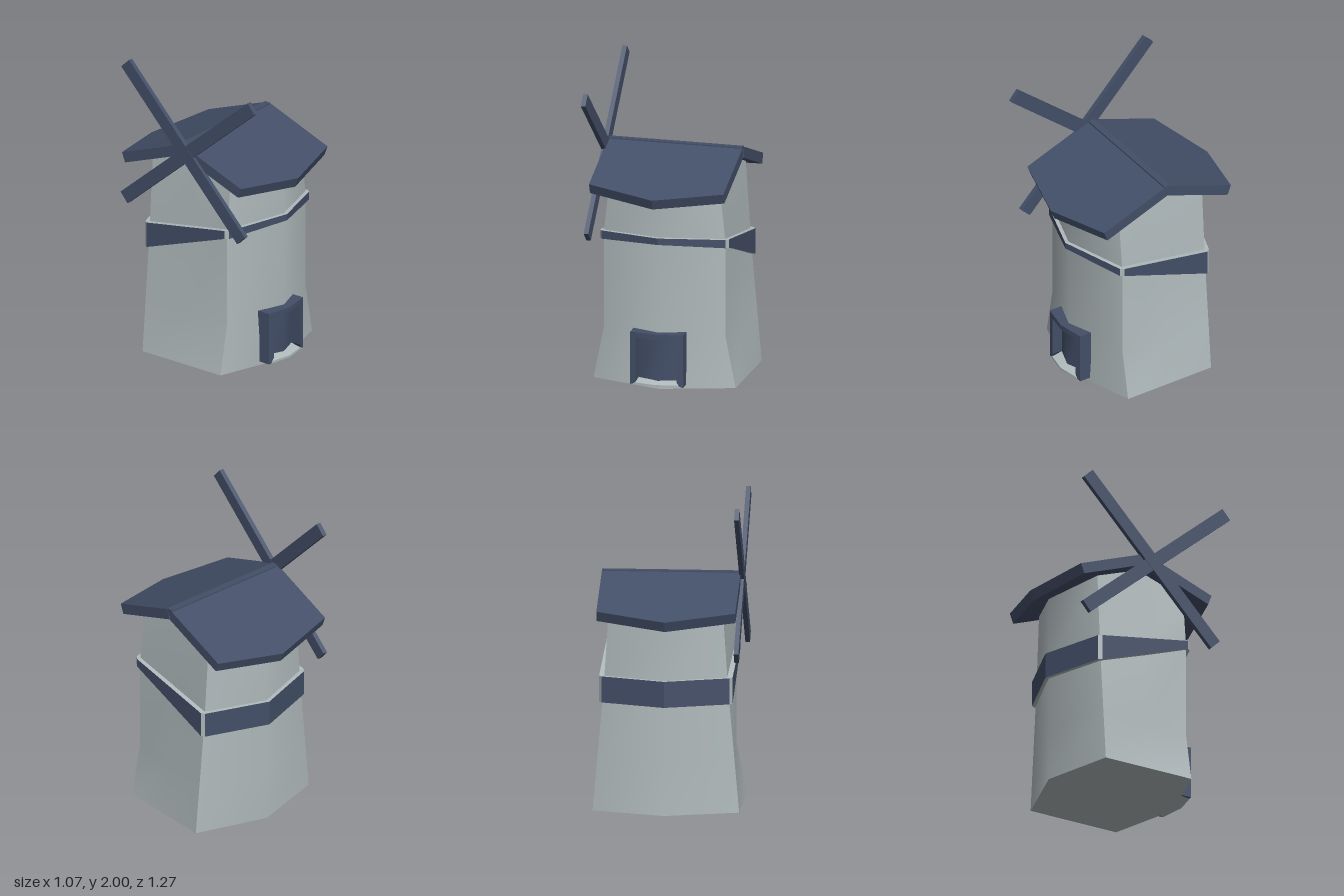
import * as THREE from 'three';
import { mergeGeometries } from 'three/addons/utils/BufferGeometryUtils.js';

const V = (x, y, z) => new THREE.Vector3(x, y, z);
const HALF_V = 0.318;  // depth of the four wall corners
const MID_V = 0.463;   // depth of the bent middle of front and back
const WIDE = 0.403;    // half width of the tower at mid height
const BEND = (MID_V - HALF_V) / WIDE;
const SLOPE = 0.375;   // roof pitch
const PEAK = 1.44;     // underside of the ridge

// Surface from rows of points: bottom to top, left to right seen from outside
function grid(rows) {
  const n = rows[0].length, index = [];
  for (let r = 0; r < rows.length - 1; r++)
    for (let c = 0; c < n - 1; c++) {
      const a = r * n + c, d = a + n;
      index.push(a, a + 1, d + 1, a, d + 1, d);
    }
  const g = new THREE.BufferGeometry().setFromPoints(rows.flat());
  g.setIndex(index);
  g.computeVertexNormals();
  return g;
}

export function createModel() {
  const stone = new THREE.MeshStandardMaterial({ color: 0xb0babc });
  stone.name = 'grey stone';
  const slate = new THREE.MeshStandardMaterial({ color: 0x434f68 });
  slate.name = 'blue slate';

  const model = new THREE.Group();
  model.name = 'windmill';
  const mill = new THREE.Group();
  mill.name = 'millBody';
  mill.rotation.y = THREE.MathUtils.degToRad(9.8);
  mill.position.set(0.018, 0, -0.034);
  model.add(mill);

  const add = (name, geometry, material, parent = mill) => {
    const m = new THREE.Mesh(geometry, material);
    m.name = name;
    parent.add(m);
    return m;
  };
  const addGroup = (name, parent = mill) => {
    const g = new THREE.Group();
    g.name = name;
    parent.add(g);
    return g;
  };

  // Tower: half width and height at each level, front and back corners
  const wallPeak = PEAK + 0.005;
  const eave = wallPeak - SLOPE * HALF_V, eaveMid = wallPeak - SLOPE * MID_V;
  const frontLevels = [[0.47, 0], [WIDE, 0.34], [WIDE, 0.97], [0.365, eave]];
  const backLevels = [[0.47, 0], [0.44, 0.34], [0.4, 0.79], [0.365, eave]];
  const corner = (su, sv, i) => {
    const [u, y] = (sv > 0 ? frontLevels : backLevels)[i];
    return V(su * u, y, sv * HALF_V);
  };
  const middle = (sv, i) =>
    V(0, i === 3 ? eaveMid : (sv > 0 ? frontLevels : backLevels)[i][1], sv * MID_V);
  const levels = [0, 1, 2, 3];
  for (const s of [1, -1]) {
    add(s > 0 ? 'frontWall' : 'backWall', grid(levels.map(i =>
      [corner(-s, s, i), middle(s, i), corner(s, s, i)])), stone);
    add(s > 0 ? 'leftWall' : 'rightWall', grid(levels.map(i => {
      const a = corner(s, s, i), b = corner(s, -s, i);
      const m = a.clone().lerp(b, 0.5);
      if (i === 3) m.set(s * 0.352, wallPeak, 0);
      return [a, m, b];
    })), stone);
  }
  add('towerBase', grid([-1, 1].map(s =>
    [corner(-1, s, 0), middle(s, 0), corner(1, s, 0)])), stone);

  // Belt: ten outer points, with small grey chamfers at the corners
  const OUT = 0.025, ring = [];
  const beltPoint = (u, v, du, dv, chamfer = false) => {
    const [bottom, top] = v < 0 ? [0.71, 0.88] : u === 0 ? [0.967, 1.01] : [0.935, 0.99];
    ring.push({
      chamfer,
      outer: [V(u + du, bottom, v + dv), V(u + du, top, v + dv)],
      inner: [V(u * 0.97, bottom, v * 0.97), V(u * 0.97, top, v * 0.97)],
    });
  };
  for (const s of [1, -1]) {
    const nu = OUT * 0.33, nv = OUT * 0.944;
    beltPoint(-s * WIDE, s * HALF_V, -s * nu, s * nv);
    beltPoint(0, s * MID_V, 0, s * OUT);
    beltPoint(s * WIDE, s * HALF_V, s * nu, s * nv, true);
    beltPoint(s * WIDE, s * HALF_V, s * OUT, 0);
    beltPoint(s * WIDE, -s * HALF_V, s * OUT, 0, true);
  }
  const bands = [], rims = [];
  ring.forEach((p, i) => {
    const q = ring[(i + 1) % ring.length];
    (p.chamfer ? rims : bands).push(
      grid([[p.outer[0], q.outer[0]], [p.outer[1], q.outer[1]]]));
    rims.push(grid([[p.outer[1], q.outer[1]], [p.inner[1], q.inner[1]]]));
    rims.push(grid([[p.inner[0], q.inner[0]], [p.outer[0], q.outer[0]]]));
  });
  add('beltBand', mergeGeometries(bands), slate);
  add('beltRim', mergeGeometries(rims), stone);

  // Roof: two pointed slabs that meet under a narrow flat ridge
  const cap = addGroup('cap');
  cap.position.set(-0.013, 0, -0.01);
  const plan = new THREE.Shape([[-0.445, 0], [-0.445, -0.492], [0, -0.613],
    [0.445, -0.492], [0.445, 0]].map(p => new THREE.Vector2(...p)));
  const slab = new THREE.ExtrudeGeometry(plan, { depth: 0.07, bevelEnabled: false });
  slab.rotateX(Math.atan(SLOPE) - Math.PI / 2);
  slab.translate(0, PEAK, 0);
  add('frontRoofSlab', slab, slate, cap);
  add('backRoofSlab', slab, slate, cap).rotation.y = Math.PI;
  add('ridge', new THREE.BoxGeometry(0.886, 0.05, 0.044), slate, cap).position.y = 1.488;

  // Sails: two crossed beams in front of the right gable
  const sails = addGroup('sails', cap);
  for (const [v, angle, u] of [[0.03, 133.8, -0.452], [0.065, 40.6, -0.45]]) {
    const beam = add('sailBeam', new THREE.BoxGeometry(0.03, 0.088, 1.366), slate, sails);
    beam.position.set(u, 1.477, v);
    beam.rotation.x = -THREE.MathUtils.degToRad(angle);
  }

  // Doorway: the back of each box follows the bent wall, its front bends less
  const bent = (x0, x1, y0, y1, z0, z1, rule) => {
    const g = new THREE.BoxGeometry(x1 - x0, y1 - y0, z1 - z0, 2, 1, 1);
    g.translate((x0 + x1) / 2, (y0 + y1) / 2, (z0 + z1) / 2);
    const pos = g.attributes.position, p = V(0, 0, 0);
    for (let i = 0; i < pos.count; i++) {
      p.fromBufferAttribute(pos, i);
      if (rule) rule(p);
      const bend = p.z > 0.03 ? 0.18 : BEND;
      pos.setXYZ(i, p.x, p.y, p.z + MID_V - bend * Math.abs(p.x));
    }
    g.computeVertexNormals();
    return g;
  };
  const door = addGroup('doorway');
  door.position.x = -0.008;
  const W = 0.175, I = 0.135, FRONT = 0.054;
  const mitre = p => { if (Math.abs(p.x) < I + 0.001 && p.y < 0.04) p.y = 0.06; };
  add('rightJamb', bent(-W, -I, 0.025, 0.375, -0.01, FRONT, mitre), slate, door);
  add('leftJamb', bent(I, W, 0.025, 0.375, -0.01, FRONT, mitre), slate, door);
  add('lintel', bent(-I, I, 0.34, 0.375, -0.01, FRONT), slate, door);
  add('doorPanel', bent(-I, I, 0.05, 0.34, -0.01, 0.006), slate, door);
  add('sill', bent(-W, W, 0.025, 0.06, -0.01, FRONT, p => {
    if (p.y > 0.04) {
      p.x = THREE.MathUtils.clamp(p.x, -I, I);
      if (p.z > 0) p.y = 0.04;
    }
  }), stone, door);

  return model;
}
